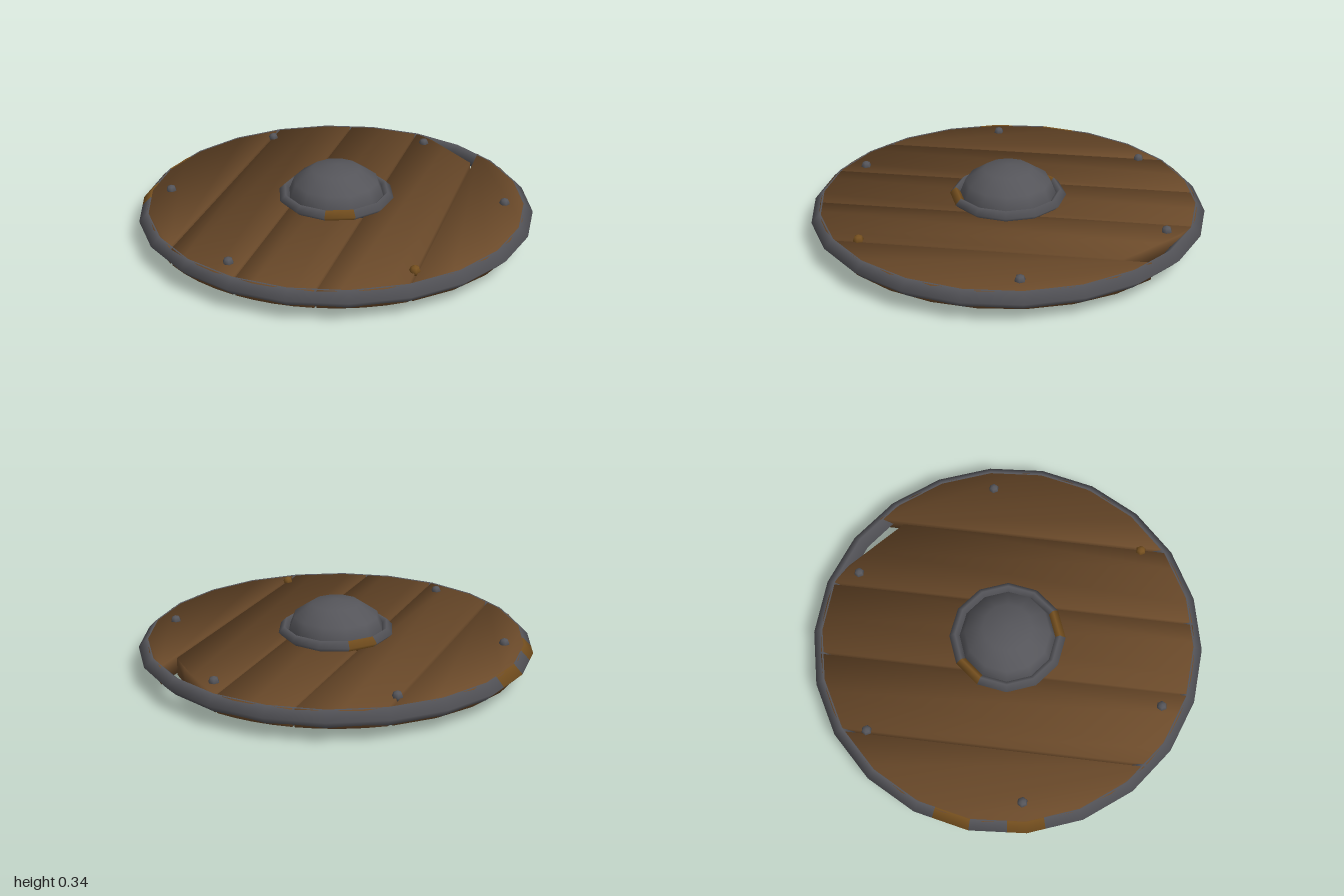
import * as THREE from 'three';

const material = (name, color) => {
  const m = new THREE.MeshStandardMaterial({ color });
  m.name = name;
  return m;
};

export function createModel() {
  const wood = material('brown wood', 0x6b4a2a);
  const metal = material('grey iron', 0x55555a);
  const rust = material('rust', 0x76501f);
  const model = new THREE.Group();
  model.name = 'roundShield';

  const add = (name, geometry, mat, x = 0, y = 0, z = 0) => {
    const mesh = new THREE.Mesh(geometry, mat);
    mesh.name = name;
    mesh.position.set(x, y, z);
    model.add(mesh);
    return mesh;
  };

  // Replace the normals by a rule, for softly shaded edges
  const soften = (geometry, rule) => {
    const p = geometry.attributes.position, n = geometry.attributes.normal;
    const v = new THREE.Vector3();
    for (let i = 0; i < p.count; i++) {
      rule(v, p.getX(i), p.getY(i), p.getZ(i)).normalize();
      n.setXYZ(i, v.x, v.y, v.z);
    }
    return geometry;
  };

  // Plank cut from a disc between two x positions
  const R = 0.955, thickness = 0.089, top = 0.161;
  const plank = (x0, x1, backLimit = () => R) => {
    const a0 = Math.acos(Math.max(-1, x0 / R)), a1 = Math.acos(Math.min(1, x1 / R));
    const front = [], back = [], steps = 4;
    for (let i = 0; i <= steps; i++) {
      const a = a0 + (a1 - a0) * i / steps;
      const x = R * Math.cos(a), z = R * Math.sin(a);
      front.push(new THREE.Vector2(x, z));
      if (z > 0.001) back.unshift(new THREE.Vector2(x, -Math.min(z, backLimit(x))));
    }
    const geometry = new THREE.ExtrudeGeometry(new THREE.Shape([...front, ...back]), {
      depth: thickness, bevelEnabled: false,
    });
    geometry.rotateX(Math.PI / 2);
    soften(geometry, (v, x, y, z) => {
      const r = Math.hypot(x, z);
      const side = Math.abs(z) < 0.001 ? 0 : Math.abs(x - x0) < 0.002 ? -1 : Math.abs(x - x1) < 0.002 ? 1 : 0;
      return v.set(x / r + side, y > -thickness / 2 ? 1 : -1, z / r);
    });
    return geometry;
  };

  // Five planks, one with a broken back corner
  const broken = (x) => 0.8 - 0.92 * (x - 0.38);
  [
    [-R, -0.588], [-0.573, -0.198], [-0.187, 0.187], [0.198, 0.572, broken], [0.587, R],
  ].forEach((p, i) => add('plank' + (i + 1), plank(...p), wood, 0, top, 0));

  // Many-sided hoop with a diamond section; rusty pieces are thirds of a side
  const hoop = (radius, tube, sides, turn, rusty) => {
    const pieces = sides * 3, step = 2 * Math.PI / sides;
    const g = new THREE.TorusGeometry(radius, tube, 4, pieces);
    const p = g.attributes.position;
    for (let i = 0; i < p.count; i++) {
      const k = i % (pieces + 1);
      const local = ((k % 3) / 3 - 0.5) * step;
      const s = Math.cos(step / 2) / Math.cos(local);
      p.setXY(i, p.getX(i) * s, p.getY(i) * s);
    }
    const clean = [], stained = [], index = g.index.array;
    for (let q = 0; q < index.length / 6; q++) {
      const list = rusty.includes(q % pieces) ? stained : clean;
      list.push(...index.slice(q * 6, q * 6 + 6));
    }
    g.setIndex([...clean, ...stained]);
    g.clearGroups();
    g.addGroup(0, clean.length, 0);
    g.addGroup(clean.length, stained.length, 1);
    return g.rotateX(Math.PI / 2).rotateY(-turn);
  };
  const deg = Math.PI / 180;
  add('rim', hoop(0.955, 0.045, 22, 4.09 * deg, [29, 30, 33, 34]), [metal, rust], 0, 0.12, 0);
  add('bossRing', hoop(0.267, 0.03, 12, -6 * deg, [6, 7, 8, 21, 22, 23]), [metal, rust], 0, 0.183, 0);

  // Central boss, bulging out on both sides
  const boss = new THREE.SphereGeometry(0.25, 12, 6);
  boss.rotateY(6 * deg).scale(1, 0.68, 1);
  add('boss', boss, metal, 0, 0.175, 0);

  // Six rivets around the face
  for (let i = 0; i < 6; i++) {
    const a = (-11.8 + i * 60) * deg;
    add('rivet' + (i + 1), new THREE.SphereGeometry(0.027, 6, 4), i === 1 ? rust : metal,
      0.855 * Math.cos(a), 0.165, 0.855 * Math.sin(a));
  }

  // Two grip bars on the underside
  for (const s of [1, -1]) {
    const bar = soften(new THREE.BoxGeometry(0.61, 0.024, 0.108),
      (v, x, y, z) => v.set(Math.sign(x), Math.sign(y), Math.sign(z)));
    add(s > 0 ? 'frontGrip' : 'backGrip', bar, wood, 0, 0.041, s * 0.254);
  }
  return model;
}
